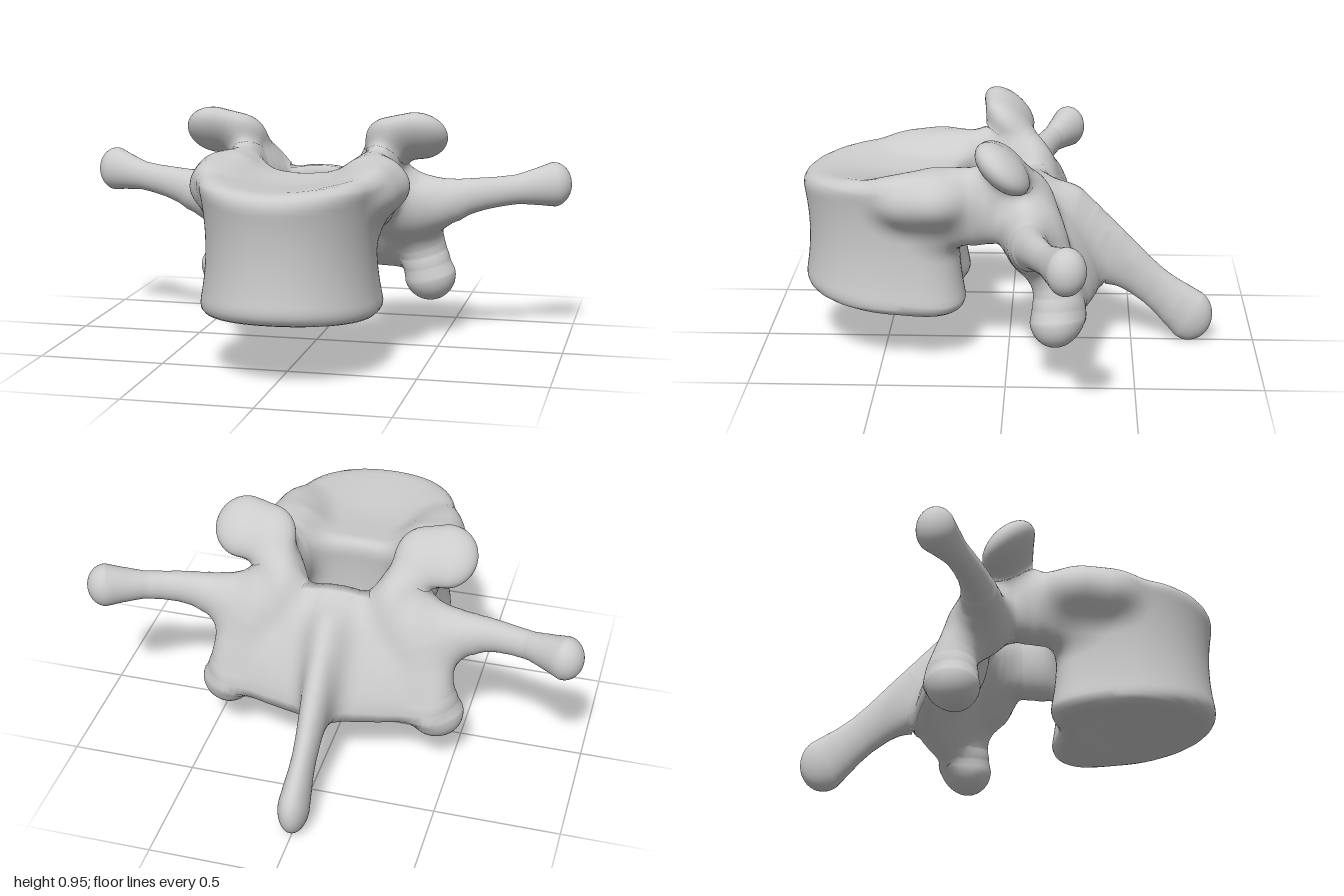
import * as THREE from 'three';

const V = (x, y, z) => new THREE.Vector3(x, y, z);

function smoothMin(a, b, k) {
  const h = Math.max(k - Math.abs(a - b), 0) / k;
  return Math.min(a, b) - h * h * k * 0.25;
}
const smoothMax = (a, b, k) => -smoothMin(-a, -b, k);

// Limb: ellipsoid of proportions `stretch` swept through stations [x, y, z, radius], tilted about x
function limb(name, stations, stretch, tilt = 0, side = true) {
  const path = new THREE.CatmullRomCurve3(stations.map(s => V(s[0], s[1], s[2])));
  const size = new THREE.CatmullRomCurve3(stations.map(s => V(...stretch).multiplyScalar(s[3])));
  const axis = V(1, 0, 0);
  const n = stations.length > 2 ? 9 : 3;
  const samples = [];
  for (let i = 0; i <= n; i++) {
    samples.push({ c: path.getPoint(i / n).applyAxisAngle(axis, -tilt), r: size.getPoint(i / n) });
  }
  const p = V(), step = V(), r = V(), q = V(), mid = V();
  const distance = (x, y, z) => {
    p.set(x, y, z).applyAxisAngle(axis, -tilt);
    let best = Infinity;
    for (let i = 0; i < n; i++) {
      const a = samples[i], b = samples[i + 1];
      mid.lerpVectors(a.r, b.r, 0.5);
      step.subVectors(b.c, a.c).divide(mid);
      q.subVectors(p, a.c).divide(mid);
      const h = Math.min(1, Math.max(0, q.dot(step) / step.lengthSq()));
      r.lerpVectors(a.r, b.r, h);
      q.lerpVectors(a.c, b.c, h).sub(p).divide(r);
      const k = q.length();
      if (k < 1e-5) return -Math.min(r.x, r.y, r.z);
      best = Math.min(best, k * (k - 1) / q.divide(r).length());
    }
    return best;
  };
  return { name, path, distance, side, rows: stations.length > 2 ? 32 : 10, cap: 12, ring: 44 };
}

// Vertebral body: waisted heart-shaped drum with dished end plates
function bodyDistance(x, y, z) {
  const dz = z - 0.45;
  const waist = 1 - 0.08 * Math.max(0, 1 - ((y - 0.49) / 0.24) ** 2);
  const depth = dz > 0 ? 0.388 : 0.305 - 0.05 * Math.exp(-((x / 0.15) ** 2));
  const n = dz > 0 ? 2 : 3.4;
  const q = ((Math.abs(x) / 0.345) ** n + (Math.abs(dz) / depth) ** n) ** (1 / n);
  const dish = Math.exp(-(x * x + dz * dz) / 0.035);
  const top = 0.735 + 0.4 * x * x - 0.02 * dish;
  const bottom = 0.182 + 0.075 * z - 0.1 * x * x + 0.045 * dish;
  return smoothMax((q - waist) * 0.34, smoothMax(y - top, bottom - y, 0.07), 0.08);
}
const body = {
  name: 'vertebralBody', distance: bodyDistance, side: false, rows: 10, cap: 34, ring: 110,
  path: new THREE.LineCurve3(V(0, 0.44, 0.46), V(0, 0.52, 0.46)),
};

// Neural arch: sloping plate, spine and the bars joining it to the body
const lamina = limb('lamina',
  [-0.4, 0, 0.4].map(x => [x, 0.485 - 0.4 * x * x, -0.225 + 0.25 * x * x, 0.27 - 0.5 * x * x]),
  [0.35, 1, 0.27], 0.55, false);
const spinous = limb('spinousProcess', [
  [0, 0.52, -0.23, 0.145],
  [0, 0.39, -0.4, 0.113],
  [0, 0.235, -0.59, 0.086],
  [0, 0.113, -0.735, 0.112],
], [0.53, 1, 0.85], 0, false);
const pedicle = limb('pedicle', [
  [0.25, 0.655, 0.27, 0.14],
  [0.265, 0.655, 0.06, 0.14],
  [0.225, 0.655, -0.09, 0.12],
], [0.6, 1, 0.7]);

// Joint surfaces and side wings
const costal = limb('costalFacet', [
  [0.31, 0.69, 0.38, 0.1],
  [0.33, 0.695, 0.29, 0.1],
], [0.98, 0.85, 1.15]);
const superior = limb('superiorArticularProcess', [
  [0.32, 0.84, 0.01, 0.12],
  [0.41, 0.855, 0.013, 0.127],
], [0.95, 1, 0.53], 0.82);
const inferior = limb('inferiorArticularProcess', [
  [0.25, 0.7, -0.05, 0.065],
  [0.34, 0.53, -0.145, 0.08],
  [0.4, 0.38, -0.18, 0.077],
  [0.435, 0.255, -0.19, 0.105],
], [1, 1, 0.93]);
const transverse = limb('transverseProcess', [
  [0.34, 0.56, -0.09, 0.1],
  [0.5, 0.575, -0.09, 0.08],
  [0.62, 0.605, -0.11, 0.056],
  [0.77, 0.624, -0.16, 0.048],
  [0.926, 0.641, -0.23, 0.074],
], [1, 1.22, 1]);

const parts = [body, lamina, spinous, pedicle, costal, superior, inferior, transverse];

// All parts melted together with soft fillets, symmetric in x
const bone = (x, y, z) =>
  parts.reduce((d, part) => smoothMin(d, part.distance(Math.abs(x), y, z), 0.09), 10);

function slope(p) {
  const e = 0.002, f = bone(p.x, p.y, p.z);
  const g = V(bone(p.x + e, p.y, p.z) - f, bone(p.x, p.y + e, p.z) - f, bone(p.x, p.y, p.z + e) - f);
  return { f, g: g.divideScalar(e) };
}

// Loft rings with round caps along a part's path, then settle them onto the fillets
function skin({ path, distance, rows, cap, ring }) {
  const along = path.getPoint(1).sub(path.getPoint(0)).normalize();
  const up = Math.abs(along.y) > 0.7 ? V(0, 0, 1) : V(0, 1, 0);
  const positions = [], normals = [], index = [];
  const total = rows + 2 * cap;
  for (let j = 0; j <= total; j++) {
    const t = Math.min(1, Math.max(0, (j - cap) / rows));
    const phi = (j < cap ? j - cap : Math.max(0, j - cap - rows)) / cap * Math.PI / 2;
    const centre = path.getPoint(t), tangent = path.getTangent(t);
    const u = up.clone().cross(tangent).normalize(), v = tangent.clone().cross(u);
    for (let i = 0; i <= ring; i++) {
      const a = (i % ring) / ring * Math.PI * 2;
      const dir = u.clone().multiplyScalar(Math.cos(a)).addScaledVector(v, Math.sin(a))
        .multiplyScalar(Math.cos(phi)).addScaledVector(tangent, Math.sin(phi));
      let lo = 0, hi = 0.7;
      for (let k = 0; k < 14; k++) {
        const m = (lo + hi) / 2;
        if (distance(centre.x + dir.x * m, centre.y + dir.y * m, centre.z + dir.z * m) < 0) lo = m;
        else hi = m;
      }
      const p = centre.clone().addScaledVector(dir, lo);
      let s = slope(p);
      const moves = s.f > -0.05 ? 3 : 0;
      for (let k = 0; k < moves; k++) {
        const step = Math.max(-0.03, Math.min(0.03, s.f / Math.max(0.3, s.g.lengthSq())));
        p.addScaledVector(s.g, -step);
        s = slope(p);
      }
      s.g.normalize();
      positions.push(p.x, p.y, p.z);
      normals.push(s.g.x, s.g.y, s.g.z);
      if (j < total && i < ring) {
        const q = j * (ring + 1) + i, r = q + ring + 1;
        index.push(q, q + 1, r, r, q + 1, r + 1);
      }
    }
  }
  const geometry = new THREE.BufferGeometry();
  geometry.setAttribute('position', new THREE.Float32BufferAttribute(positions, 3));
  geometry.setAttribute('normal', new THREE.Float32BufferAttribute(normals, 3));
  geometry.setIndex(index);
  return geometry;
}

// Mirrored copy in x with the winding restored
function mirror(geometry) {
  const copy = geometry.clone();
  for (const key of ['position', 'normal']) {
    const attribute = copy.attributes[key];
    for (let i = 0; i < attribute.count; i++) attribute.setX(i, -attribute.getX(i));
  }
  copy.setIndex(Array.from(geometry.index.array).reverse());
  return copy;
}

export function createModel() {
  const group = new THREE.Group();
  group.name = 'vertebra';
  const material = new THREE.MeshStandardMaterial({ color: 0xcccccc });
  const add = (name, geometry) => {
    const mesh = new THREE.Mesh(geometry, material);
    mesh.name = name;
    group.add(mesh);
  };
  for (const part of parts) {
    const geometry = skin(part);
    add(part.side ? part.name + 'Left' : part.name, geometry);
    if (part.side) add(part.name + 'Right', mirror(geometry));
  }
  return group;
}
